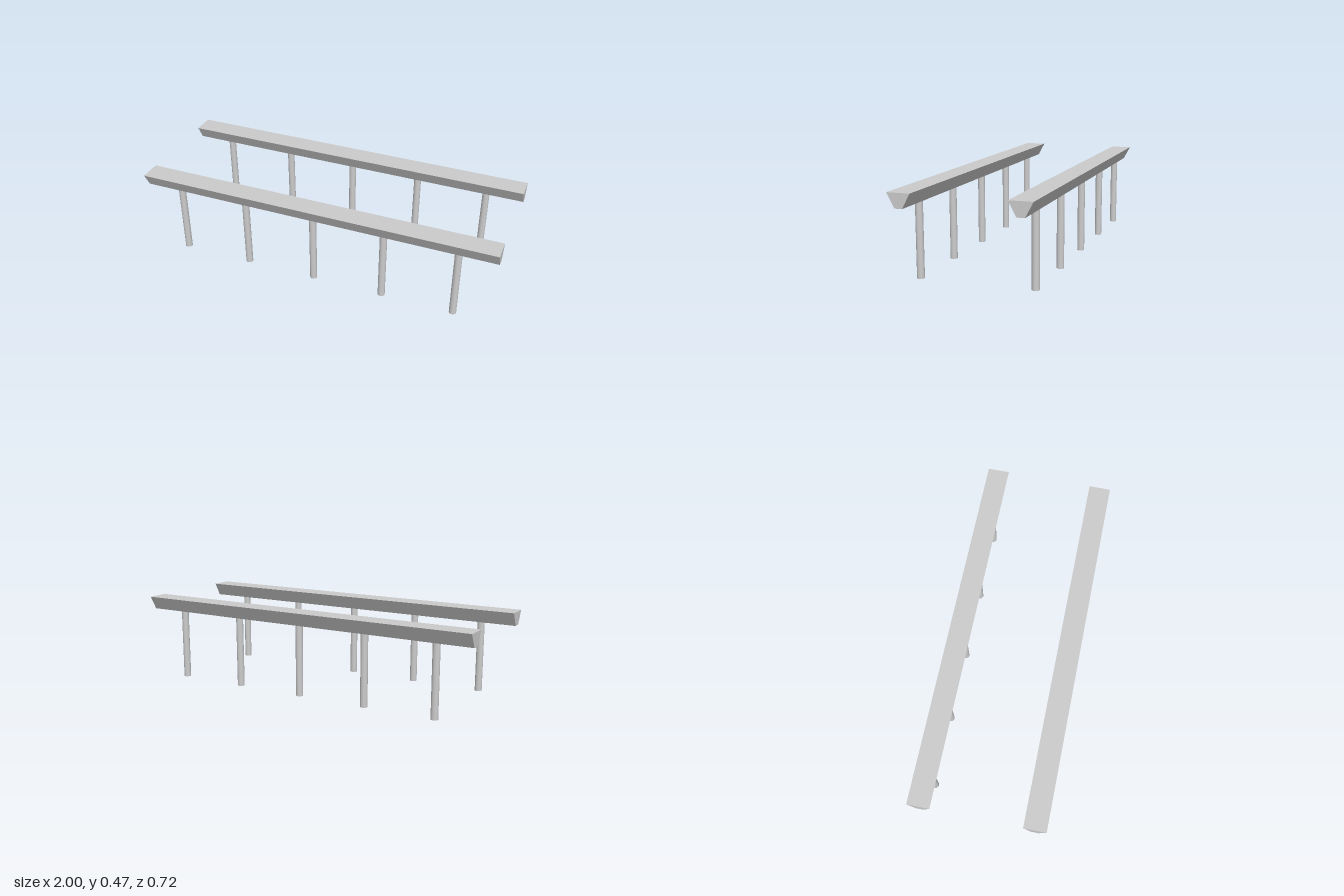
import * as THREE from 'three';

const LENGTH = 2, TOP = 0.465, RAIL_BOTTOM = 0.39;
const RAIL_Z = 0.3, POST_RADIUS = 0.0195;

export function createModel() {
  const model = new THREE.Group();
  model.name = 'parallelRails';
  const material = new THREE.MeshStandardMaterial({ color: 0xcccccc });

  // Trapezoid beam section, wide at the top, run along x
  const section = new THREE.Shape([
    new THREE.Vector2(-0.02, RAIL_BOTTOM),
    new THREE.Vector2(0.02, RAIL_BOTTOM),
    new THREE.Vector2(0.06, TOP),
    new THREE.Vector2(-0.06, TOP),
  ]);
  const railGeometry = new THREE.ExtrudeGeometry(section, { depth: LENGTH, bevelEnabled: false });
  railGeometry.translate(0, 0, -LENGTH / 2).rotateY(Math.PI / 2);

  // Round post standing on the ground
  const postGeometry = new THREE.CylinderGeometry(POST_RADIUS, POST_RADIUS, RAIL_BOTTOM, 24);
  postGeometry.translate(0, RAIL_BOTTOM / 2, 0);

  for (const [side, z] of [['front', RAIL_Z], ['back', -RAIL_Z]]) {
    const rail = new THREE.Mesh(railGeometry, material);
    rail.name = `${side}Rail`;
    rail.position.z = z;
    model.add(rail);

    // Five evenly spaced posts under each rail
    for (let i = 0; i < 5; i++) {
      const post = new THREE.Mesh(postGeometry, material);
      post.name = `${side}Post${i + 1}`;
      post.position.set(-0.8 + i * 0.3975, 0, z);
      model.add(post);
    }
  }
  return model;
}
